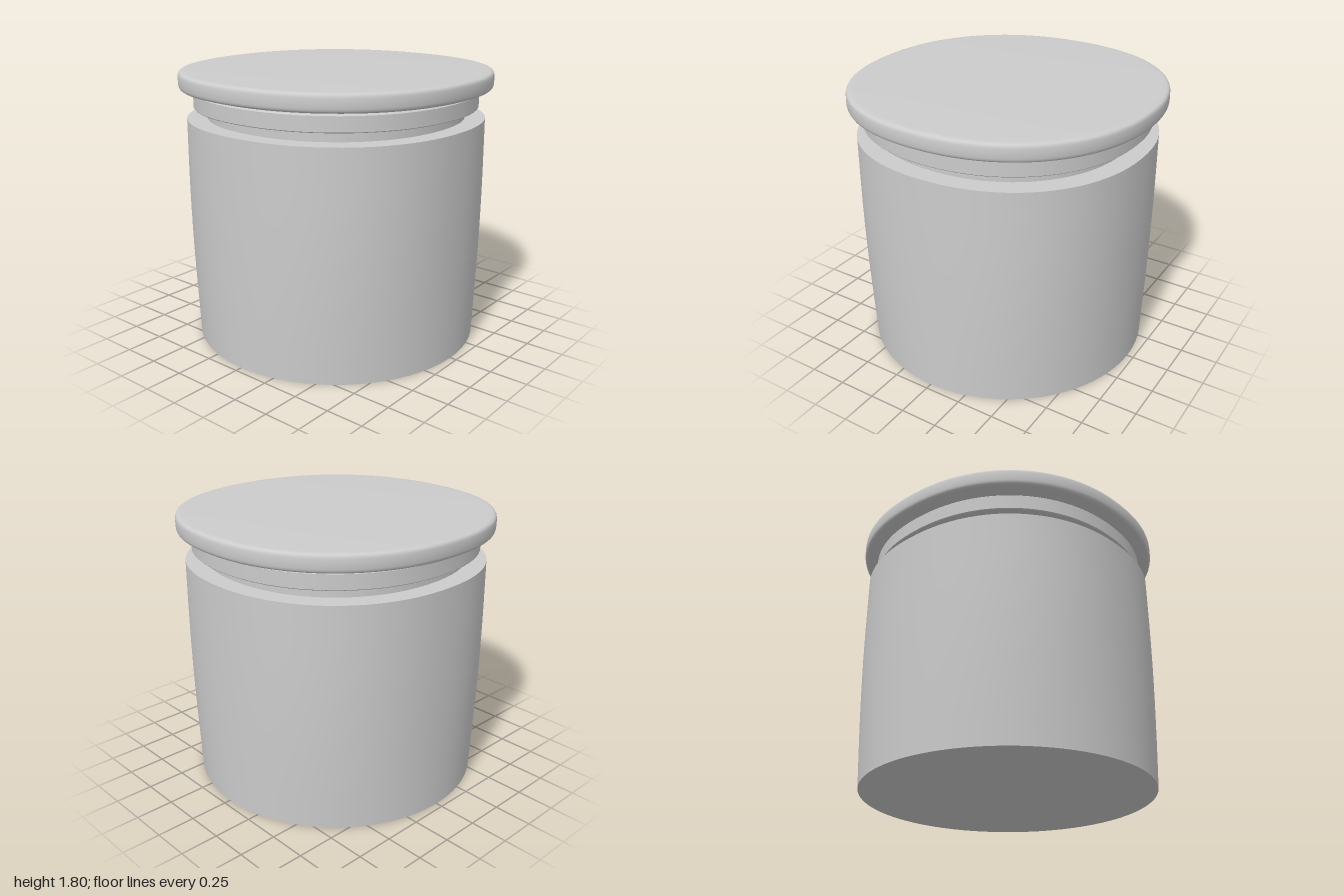
import * as THREE from 'three';
import { toCreasedNormals } from 'three/addons/utils/BufferGeometryUtils.js';

const material = new THREE.MeshStandardMaterial({ color: 0xcccccc });

// Turned part whose round section is slightly squared (superellipse).
// profile: [radius, height] from bottom to top; squareness(y): exponent, 2 = circle.
function turnedPart(name, profile, squareness) {
  const points = profile.map(([r, y]) => new THREE.Vector2(r, y));
  const geometry = new THREE.LatheGeometry(points, 96);
  const pos = geometry.attributes.position;
  for (let i = 0; i < pos.count; i++) {
    const x = pos.getX(i), z = pos.getZ(i);
    const r = Math.hypot(x, z);
    if (r < 1e-6) continue;
    const n = squareness(pos.getY(i));
    const k = 1 / Math.pow(Math.pow(Math.abs(x / r), n) + Math.pow(Math.abs(z / r), n), 1 / n);
    pos.setX(i, x * k);
    pos.setZ(i, z * k);
  }
  const mesh = new THREE.Mesh(toCreasedNormals(geometry, 0.7), material);
  mesh.name = name;
  return mesh;
}

export function createModel() {
  const model = new THREE.Group();
  model.name = 'lidded jar';

  // Body: round at the foot, a little squarer towards the rim
  const body = [[0, 0]];
  const steps = 10;
  for (let i = 0; i <= steps; i++) {
    const t = i / steps;
    body.push([0.955 + 0.004 * Math.sin(Math.PI * t), 1.49 * t]);
  }
  body.push([0.83, 1.49], [0, 1.49]);
  model.add(turnedPart('body', body, (y) => 2 + 0.18 * Math.sin(Math.min(y / 1.2, 1) * Math.PI / 2)));

  // Neck between body and sealing ring
  model.add(turnedPart('neck', [[0.83, 1.48], [0.83, 1.57]], () => 2.15));

  // Sealing ring
  model.add(turnedPart('sealingRing', [
    [0, 1.56], [0.91, 1.56], [0.915, 1.565], [0.915, 1.658], [0.908, 1.665], [0, 1.665],
  ], () => 2.15));

  // Lid: shallow underside, rounded edge and flat top
  const lid = [[0.72, 1.66], [0.79, 1.678], [0.93, 1.684]];
  const edge = 12, cy = 1.742, bulge = 0.058;
  for (let i = 0; i <= edge; i++) {
    const a = -Math.PI / 2 + Math.PI * i / edge;
    const c = Math.cos(a), s = Math.sin(a);
    lid.push([0.95 + 0.05 * Math.sqrt(Math.max(c, 0)), cy + bulge * Math.sign(s) * Math.sqrt(Math.abs(s))]);
  }
  lid.push([0, 1.8]);
  model.add(turnedPart('lid', lid, () => 2.18));

  return model;
}
